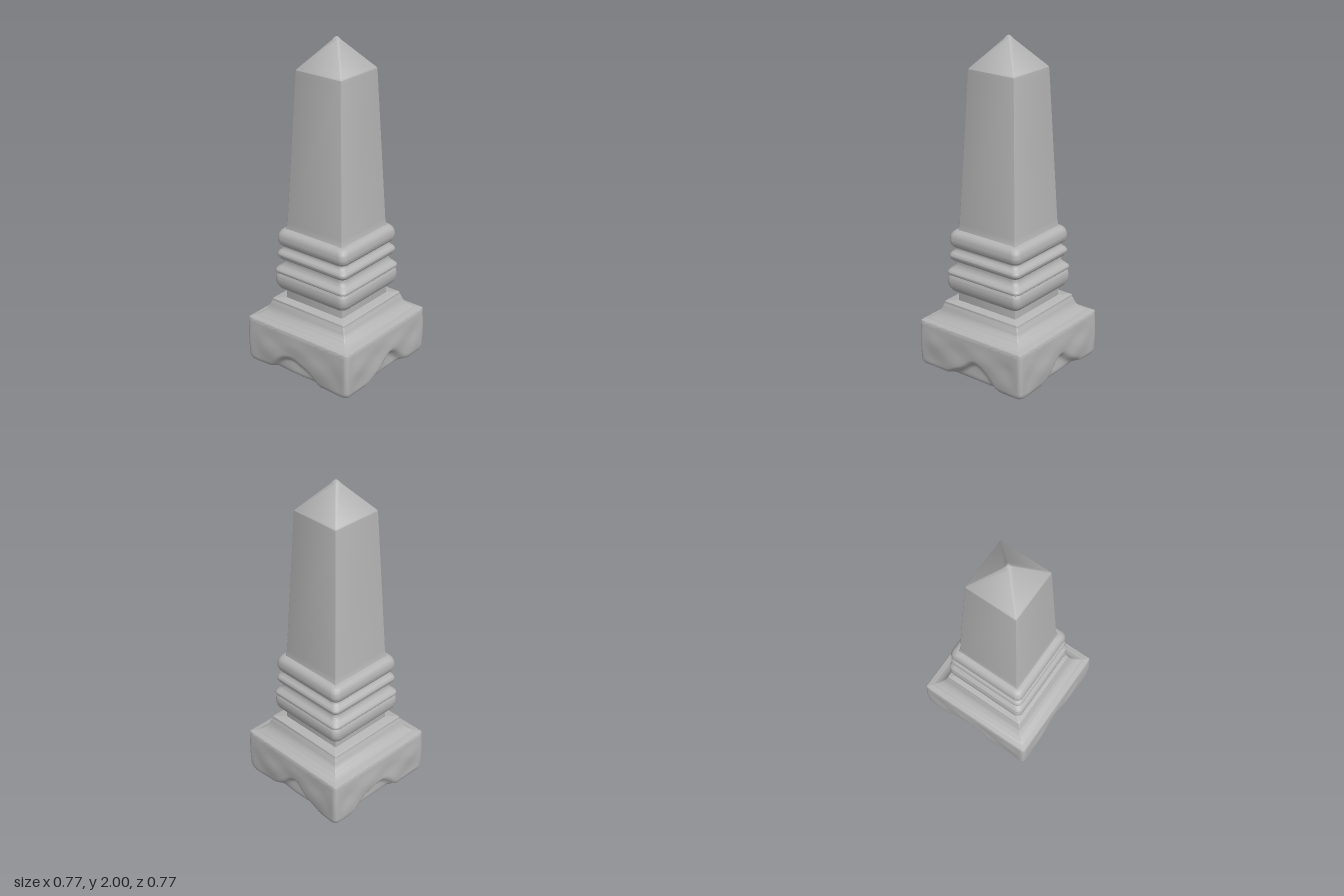
import * as THREE from 'three';
import { toCreasedNormals } from 'three/addons/utils/BufferGeometryUtils.js';

const stone = new THREE.MeshStandardMaterial({ color: 0xb4b4b4 });
stone.name = 'grey stone';

// One rounded-square ring: half width h, corner radius r, n steps per side
function ring(h, r, y, n) {
  const pts = [];
  const c = h - r;
  for (let s = 0; s < 4; s++) {
    const a0 = s * Math.PI / 2;
    const put = (u, out) => pts.push(new THREE.Vector3(
      out * Math.cos(a0) - u * Math.sin(a0), y, out * Math.sin(a0) + u * Math.cos(a0)));
    for (let i = 0; i <= n; i++) put(-c + 2 * c * i / n, h);
    for (let k = 1; k < 6; k++) {
      const t = k / 6 * Math.PI / 2;
      put(c + r * Math.sin(t), c + r * Math.cos(t));
    }
  }
  return pts;
}

// Closed loft through square rings [half width, y, corner radius]
function squareLoft(name, profile, { n = 1, crease = 0.6, warp } = {}) {
  const pos = [], index = [];
  const rings = profile.map(([h, y, r]) => ring(h, Math.min(r, h * 0.9), y, n));
  const count = rings[0].length;
  for (const pts of rings) for (const p of pts) {
    if (warp) warp(p);
    pos.push(p.x, p.y, p.z);
  }
  for (let i = 0; i < rings.length - 1; i++) for (let j = 0; j < count; j++) {
    const a = i * count + j, b = i * count + (j + 1) % count;
    index.push(a, a + count, b, b, a + count, b + count);
  }
  // Bottom and top caps
  const last = (rings.length - 1) * count, low = rings.length * count;
  const mid = (pts) => pts.reduce((s, p) => s + p.y, 0) / count;
  pos.push(0, mid(rings[0]), 0, 0, mid(rings[rings.length - 1]), 0);
  for (let j = 0; j < count; j++) {
    const k = (j + 1) % count;
    index.push(low, j, k, low + 1, last + k, last + j);
  }
  const g = new THREE.BufferGeometry();
  g.setAttribute('position', new THREE.Float32BufferAttribute(pos, 3));
  g.setIndex(index);
  const mesh = new THREE.Mesh(toCreasedNormals(g, crease), stone);
  mesh.name = name;
  return mesh;
}

// Smooth curve through profile points, sampled into rings
function smoothProfile(points, radius, samples) {
  const curve = new THREE.CatmullRomCurve3(
    points.map(([h, y]) => new THREE.Vector3(h, y, 0)), false, 'centripetal');
  return curve.getPoints(samples).map(p => [p.x, p.y, radius]);
}

// Rough-hewn block: arched chips low on each side, pitted underside
function roughen(p) {
  const { x, y, z } = p;
  const onX = Math.abs(x) > Math.abs(z);
  const axis = onX ? 'x' : 'z';
  const u = onX ? z : x, out = onX ? x : z;
  const seed = (onX ? 1.7 : 0) + (out < 0 ? 3.1 : 0);
  const m = Math.abs(out) / 0.38;
  const shift = 0.03 * Math.cos(seed * 2);
  const arch = 0.145 - 1.5 * Math.pow(Math.abs(u - shift), 1.5) + 0.012 * Math.sin(u * 28 + seed);
  const edge = THREE.MathUtils.smoothstep(0.36 - Math.abs(u), 0, 0.08);
  const chip = 0.035 * THREE.MathUtils.smoothstep(arch - y, 0, 0.05) * edge;
  const low = 1 - THREE.MathUtils.smoothstep(y, 0.15, 0.29);
  const wave = 0.005 * low * edge * Math.sin(u * 17 + seed * 3) * Math.sin(y * 25 + seed);
  p[axis] -= Math.sign(out) * (chip + wave) * Math.pow(m, 4);
  if (y < 0.012) {
    const pit = Math.sin(x * 23 + 1.2 * Math.sin(z * 17)) * Math.sin(z * 27 + Math.sin(x * 19));
    p.y += 0.014 * Math.max(0, pit) * Math.min(1, (1.02 - m) * 5);
  }
}

export function createModel() {
  const group = new THREE.Group();
  group.name = 'obelisk';

  // Base block, built from the underside outward and then up
  const base = [];
  for (let i = 1; i <= 18; i++) base.push([0.36 * i / 18, 0.005, 0.03]);
  base.push([0.37, 0.012, 0.03], [0.376, 0.025, 0.03]);
  for (let i = 0; i <= 22; i++) {
    const t = i / 22;
    base.push([0.378 + 0.004 * Math.sin(Math.PI * t), 0.035 + 0.245 * t, 0.025]);
  }
  base.push([0.377, 0.289, 0.02], [0.37, 0.296, 0.016]);
  group.add(squareLoft('baseBlock', base, { n: 40, crease: 0.9, warp: roughen }));

  // Cove rising from the block to the plinth top
  const cove = smoothProfile(
    [[0.372, 0.295], [0.338, 0.305], [0.31, 0.325], [0.29, 0.352], [0.28, 0.38], [0.272, 0.4]], 0.008, 16);
  cove.push([0.272, 0.408, 0.008], [0.268, 0.411, 0.008]);
  group.add(squareLoft('baseCove', cove));

  group.add(squareLoft('neck', [[0.212, 0.4, 0.006], [0.212, 0.5, 0.006]]));

  // Lower moulding: fat roll, lip, hollow
  group.add(squareLoft('lowerRoll', smoothProfile(
    [[0.215, 0.474], [0.24, 0.478], [0.258, 0.5], [0.266, 0.535], [0.264, 0.565], [0.257, 0.584]], 0.04, 20)));
  group.add(squareLoft('lowerLip', smoothProfile(
    [[0.255, 0.582], [0.264, 0.588], [0.265, 0.602], [0.254, 0.616], [0.24, 0.63],
      [0.231, 0.65], [0.23, 0.675]], 0.035, 20)));

  // Middle ring and the hollow above it
  group.add(squareLoft('middleRing', smoothProfile(
    [[0.23, 0.668], [0.246, 0.678], [0.256, 0.698], [0.252, 0.716], [0.238, 0.73],
      [0.229, 0.745], [0.23, 0.765]], 0.035, 20)));

  // Upper roll
  group.add(squareLoft('upperRoll', smoothProfile(
    [[0.226, 0.755], [0.243, 0.763], [0.253, 0.783], [0.255, 0.81], [0.248, 0.838],
      [0.232, 0.855], [0.205, 0.862]], 0.04, 22)));

  // Tapered shaft with a small flare at its foot
  group.add(squareLoft('shaft', [
    [0.213, 0.85, 0.006], [0.208, 0.868, 0.006], [0.204, 0.9, 0.006],
    [0.163, 1.8, 0.006], [0.161, 1.815, 0.006]]));

  // Pyramid cap with a blunted tip
  group.add(squareLoft('pyramidCap', [
    [0.161, 1.815, 0.006], [0.157, 1.822, 0.007], [0.022, 1.979, 0.009],
    [0.014, 1.992, 0.009], [0.006, 1.999, 0.005], [0.001, 2, 0.0008]], { crease: 0.7 }));

  return group;
}
